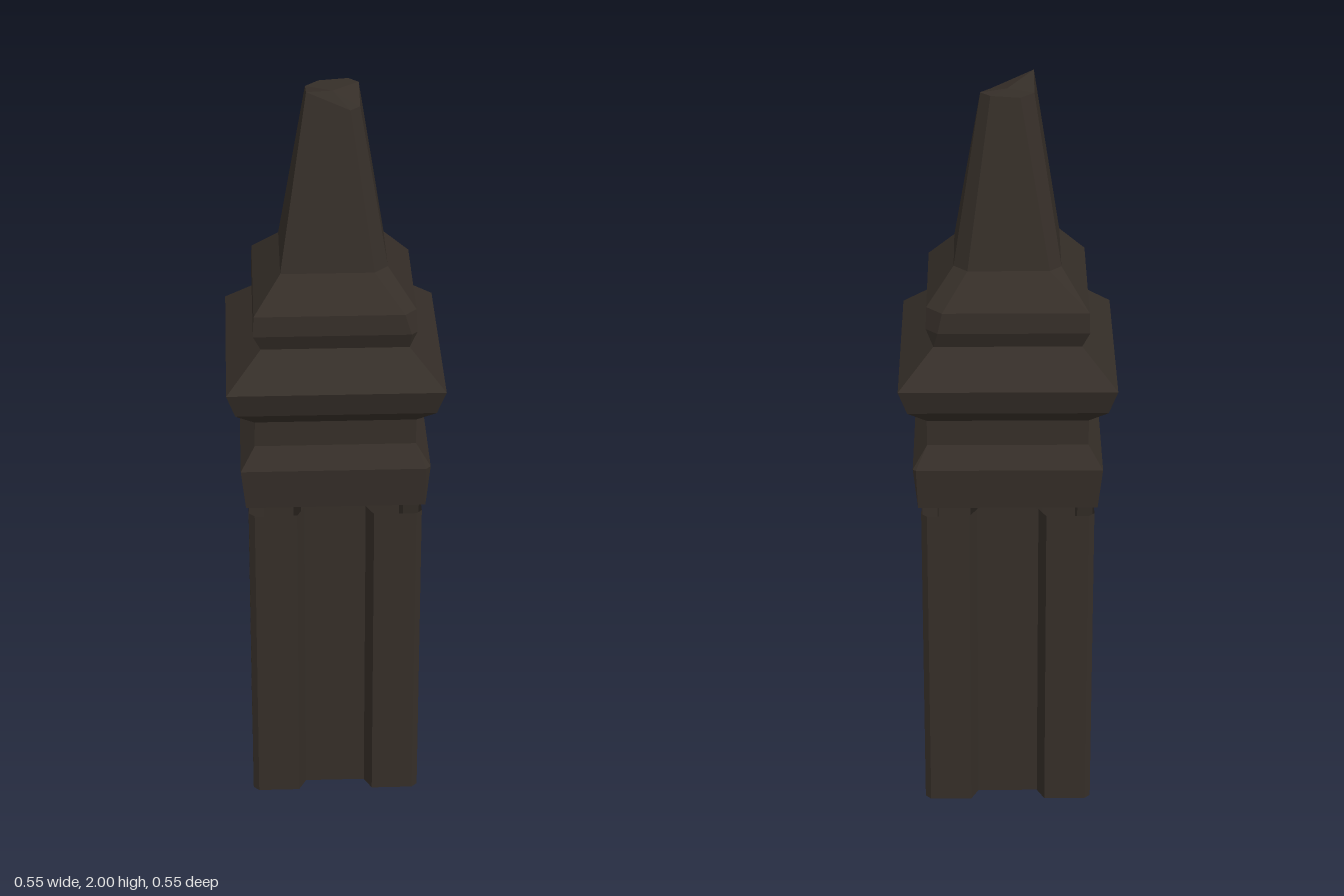
import * as THREE from 'three';

const material = new THREE.MeshStandardMaterial({
  color: 0x352e28, flatShading: true, side: THREE.DoubleSide,
});

// Repeat one quarter of a section around the four sides
function fourSides(quarter) {
  const ring = [];
  for (let k = 0; k < 4; k++) {
    for (const p of quarter(k)) {
      let [x, z, dy = 0] = p;
      for (let i = 0; i < k; i++) [x, z] = [z, -x];
      ring.push([x, z, dy]);
    }
  }
  return ring;
}

// Skin a stack of rings, with an optional centre point closing the top
function loft(name, rings, topCentre) {
  const pos = [];
  const n = rings[0].length;
  for (let i = 0; i < rings.length - 1; i++) {
    for (let j = 0; j < n; j++) {
      const k = (j + 1) % n;
      const [a, b, c, d] = [rings[i][j], rings[i][k], rings[i + 1][k], rings[i + 1][j]];
      pos.push(...a, ...b, ...c, ...a, ...c, ...d);
    }
  }
  if (topCentre) {
    const last = rings[rings.length - 1];
    last.forEach((p, j) => pos.push(...p, ...last[(j + 1) % n], ...topCentre));
  }
  const geometry = new THREE.BufferGeometry();
  geometry.setAttribute('position', new THREE.Float32BufferAttribute(pos, 3));
  geometry.computeVertexNormals();
  const mesh = new THREE.Mesh(geometry, material);
  mesh.name = name;
  return mesh;
}

const atHeight = (ring, y) => ring.map(([x, z, dy]) => [x, y + dy, z]);

export function createModel() {
  const group = new THREE.Group();
  group.name = 'post';

  // Hollow shaft with a shallow groove on each side and bevelled corners
  const section = fourSides(() => [
    [-0.1, 0.225], [-0.08, 0.185], [0.08, 0.185], [0.1, 0.225], [0.21, 0.225], [0.225, 0.21],
  ]);
  group.add(loft('shaft', [atHeight(section, 0), atHeight(section, 0.885)]));

  // Moulded cap and spire: height, half width, worn corners
  // (corner order: front left, back left, back right, front right)
  const sharp = [0, 0, 0, 0];
  const profile = [
    [0.915, 0.232, sharp],
    [1.03, 0.244, [0.012, 0.008, 0, 0]],
    [1.085, 0.207, sharp],
    [1.155, 0.207, sharp],
    [1.2, 0.255, sharp],
    [1.27, 0.277, sharp],
    [1.355, 0.188, sharp],
    [1.4, 0.207, [0.015, 0.03, 0, 0]],
    [1.455, 0.205, [0.03, 0.04, 0, 0]],
    [1.54, 0.136, [0.035, 0.035, 0.03, 0]],
    [2.0, 0.067, [0.025, 0.025, 0.035, 0]],
  ];
  // The top corners are chipped down by these amounts
  const chips = [0.05, 0.02, 0.025, 0];
  const rings = profile.map(([y, h, worn], i) => {
    const top = i === profile.length - 1;
    const ring = fourSides((k) => {
      const dy = top ? -chips[k] : 0;
      return [[h - worn[k], h, dy], [h, h - worn[k], dy]];
    });
    return atHeight(ring, y);
  });
  group.add(loft('cap', rings, [0, 1.975, 0]));

  return group;
}
